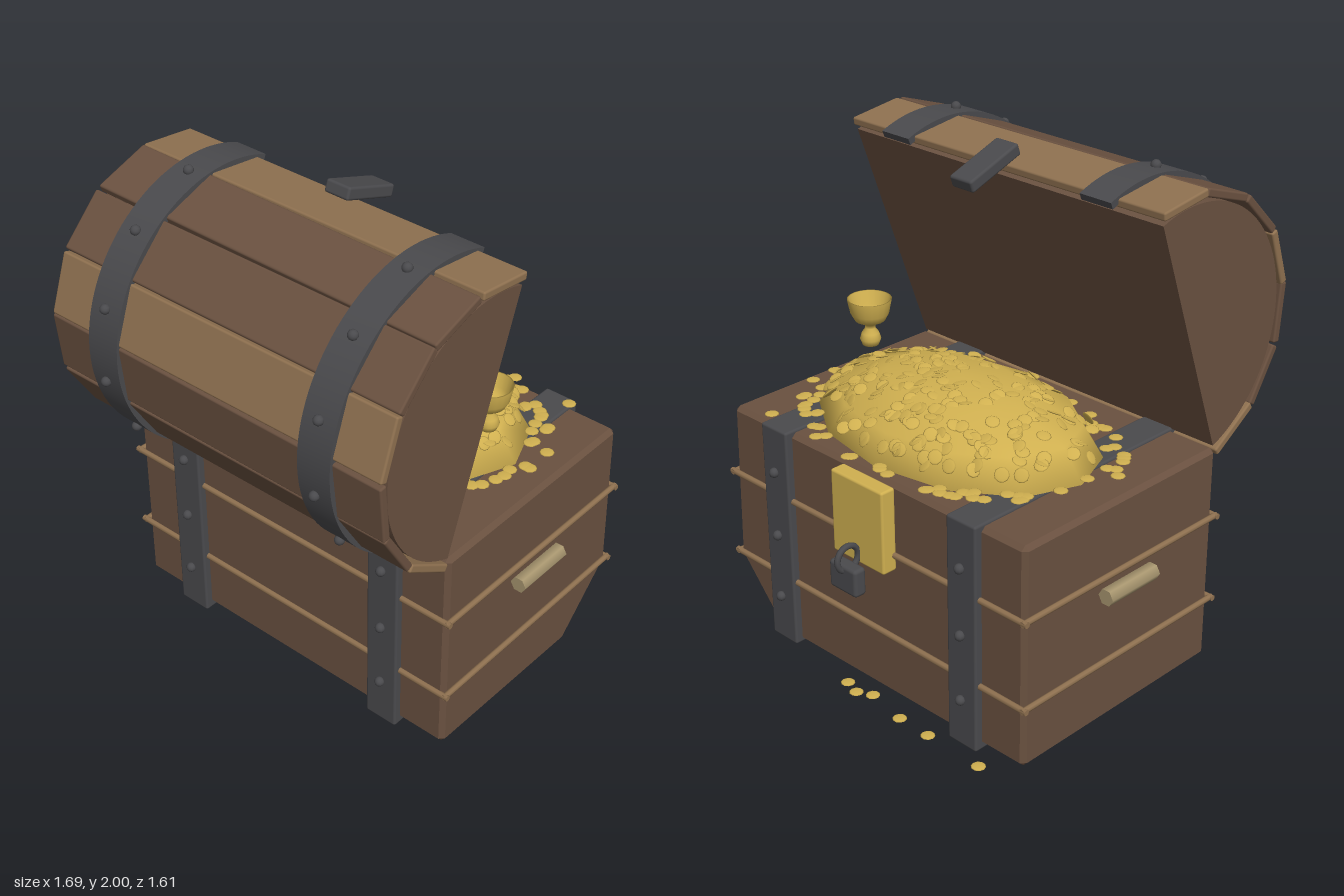
import * as THREE from 'three';
import { mergeGeometries, toCreasedNormals } from 'three/addons/utils/BufferGeometryUtils.js';
import { RoundedBoxGeometry } from 'three/addons/geometries/RoundedBoxGeometry.js';
import { ConvexGeometry } from 'three/addons/geometries/ConvexGeometry.js';

const paint = (color, side = THREE.FrontSide) => new THREE.MeshStandardMaterial({ color, side });
const wood = paint(0x6a5140), lightWood = paint(0x8f7150), iron = paint(0x4a4a4d);
const gold = paint(0xd0b050), goldThin = paint(0xd0b050, THREE.DoubleSide), tan = paint(0xa8966f);

function add(parent, name, geometry, material, x = 0, y = 0, z = 0) {
  const mesh = new THREE.Mesh(geometry, material);
  mesh.name = name;
  mesh.position.set(x, y, z);
  parent.add(mesh);
  return mesh;
}

const rounded = (w, h, d, r = 0.01) => new RoundedBoxGeometry(w, h, d, 2, r);

// Half-round slab in the lid's frame: axis along x, dome towards +y
function arch(shape, width) {
  const g = new THREE.ExtrudeGeometry(shape, { depth: width, bevelEnabled: false, curveSegments: 28 });
  g.translate(0, 0, -width / 2).rotateY(Math.PI / 2);
  return toCreasedNormals(g, 0.5);
}

// Box with softened edges and one bottom corner sliced away
function bodyGeometry() {
  const r = 0.018, [x1, y0, y1, z0, z1] = [0.777, 0.02, 0.927, -0.622, 0.405];
  const points = [new THREE.Vector3(0.55, y0, z0), new THREE.Vector3(x1, 0.27, z0), new THREE.Vector3(x1, y0, -0.37)];
  for (const sx of [-1, 1]) for (const sy of [0, 1]) for (const sz of [0, 1]) {
    if (sx === 1 && !sy && !sz) continue;
    const x = sx * x1, y = sy ? y1 : y0, z = sz ? z1 : z0;
    const dx = -sx * r, dy = sy ? -r : r, dz = sz ? -r : r;
    points.push(new THREE.Vector3(x, y + dy, z + dz), new THREE.Vector3(x + dx, y, z + dz), new THREE.Vector3(x + dx, y + dy, z));
  }
  return new ConvexGeometry(points);
}

function buildBody() {
  const body = new THREE.Group();
  body.name = 'chestBody';
  add(body, 'box', bodyGeometry(), wood);

  // Thin wooden rails running round the box
  for (const y of [0.28, 0.64]) {
    for (const z of [0.41, -0.632]) {
      add(body, 'longRail', new THREE.CylinderGeometry(0.012, 0.012, 1.6, 8), lightWood, 0, y, z).rotation.z = Math.PI / 2;
    }
    for (const x of [-0.785, 0.785]) {
      add(body, 'sideRail', new THREE.CylinderGeometry(0.012, 0.012, 1.06, 8), lightWood, x, y, -0.112).rotation.x = Math.PI / 2;
    }
  }

  // Iron straps with rivets
  for (const x of [-0.5, 0.5]) {
    add(body, 'strap', rounded(0.143, 0.938, 1.09), iron, x, 0.469, -0.109);
    for (const y of [0.2, 0.475, 0.75]) for (const z of [0.443, -0.661]) {
      add(body, 'rivet', new THREE.SphereGeometry(0.02, 10, 8), iron, x, y, z);
    }
  }

  // Six-sided grips at the ends
  for (const x of [-0.811, 0.811]) {
    const grip = new THREE.CylinderGeometry(0.034, 0.034, 0.26, 6).rotateY(Math.PI / 6).rotateX(Math.PI / 2);
    add(body, 'handle', grip, tan, x, 0.58, -0.11);
  }

  // Lock plate and padlock
  add(body, 'lockPlate', rounded(0.275, 0.34, 0.066), gold, 0, 0.745, -0.654);
  add(body, 'padlockRing', new THREE.TorusGeometry(0.05, 0.012, 8, 24), iron, 0, 0.615, -0.737).rotation.y = Math.PI / 2;
  add(body, 'padlock', rounded(0.145, 0.115, 0.056, 0.015), iron, 0, 0.54, -0.74);
  return body;
}

function buildLid() {
  const lid = new THREE.Group();
  lid.name = 'lid';
  lid.position.set(0, 1.41, 0.225);
  lid.rotation.x = THREE.MathUtils.degToRad(70);

  const half = new THREE.Shape();
  half.absarc(0, 0, 0.508, 0, Math.PI, false);
  half.closePath();
  add(lid, 'lidCore', arch(half, 1.53), wood);

  // Seven planks round the dome, each a little crooked
  const step = Math.PI / 7;
  for (let i = 0; i < 7; i++) {
    const a = (i + 0.5) * step;
    const plank = add(lid, 'plank', rounded(1.55, 0.033, 0.238, 0.008), i % 3 ? wood : lightWood,
      0, 0.53 * Math.sin(a), 0.53 * Math.cos(a));
    plank.rotation.set(Math.PI / 2 - a, 0.006 * Math.sin(i * 2.3), 0);
  }

  // Curved straps with rivets
  const over = 0.05;
  const ring = new THREE.Shape();
  ring.absarc(0, 0, 0.568, -over, Math.PI + over, false);
  ring.absarc(0, 0, 0.54, Math.PI + over, -over, true);
  ring.closePath();
  for (const x of [-0.5, 0.5]) {
    add(lid, 'lidStrap', arch(ring, 0.143), iron, x);
    for (let i = 1; i < 6; i++) {
      const a = i * Math.PI / 6;
      add(lid, 'lidRivet', new THREE.SphereGeometry(0.02, 10, 8), iron, x, 0.574 * Math.sin(a), 0.574 * Math.cos(a));
    }
  }

  add(lid, 'clasp', rounded(0.11, 0.26, 0.05), iron, 0, -0.05, -0.582);
  return lid;
}

function buildTreasure() {
  const treasure = new THREE.Group();
  treasure.name = 'treasure';
  let seed = 7;
  const rand = () => (seed = (seed * 16807) % 2147483647) / 2147483647;
  const [rx, ry, rz, cy, cz] = [0.63, 0.23, 0.42, 0.94, -0.175];

  const mound = add(treasure, 'goldMound', new THREE.SphereGeometry(1, 12, 3, 0, Math.PI * 2, 0, Math.PI / 2), goldThin, 0, cy, cz);
  mound.scale.set(rx, ry, rz);

  // Coins: strewn over the mound, around its foot and on the ground
  const coins = [];
  const up = new THREE.Vector3(0, 1, 0), one = new THREE.Vector3(1, 1, 1);
  const coin = (x, y, z, normal = up) => {
    const q = new THREE.Quaternion().setFromUnitVectors(up, normal.normalize());
    const g = new THREE.SphereGeometry(0.028, 10, 6).scale(1, 0.14, 1);
    coins.push(g.applyMatrix4(new THREE.Matrix4().compose(new THREE.Vector3(x, y, z), q, one)));
  };
  for (let i = 0; i < 230; i++) {
    const a = rand() * Math.PI * 2, r = 0.97 * Math.sqrt(rand());
    const x = r * Math.cos(a), z = r * Math.sin(a), y = Math.sqrt(1 - r * r);
    const tilt = () => (rand() - 0.5) * 1.1;
    coin(x * rx, cy + y * ry * 0.97, cz + z * rz, new THREE.Vector3(x / rx * 0.4 + tilt(), y / ry * 0.4, z / rz * 0.4 + tilt()));
  }
  for (let i = 0; i < 75; i++) {
    const a = rand() * Math.PI * 2, r = 1 + rand() * 0.14;
    coin(r * rx * Math.cos(a), 0.955, cz + r * rz * Math.sin(a));
  }
  coin(0.57, 0.955, -0.6);
  for (const [x, z] of [[-0.65, -0.72], [-0.39, -0.72], [-0.24, -0.72], [-0.06, -0.69], [0, -0.72], [0.07, -0.7]]) coin(x, 0.02, z);
  add(treasure, 'coins', mergeGeometries(coins), gold);

  // Goblet standing on the mound
  const profile = [[0, 0], [0.032, 0.01], [0.042, 0.035], [0.034, 0.06], [0.02, 0.08], [0.022, 0.095], [0.06, 0.115],
    [0.076, 0.145], [0.088, 0.203], [0.082, 0.203], [0.068, 0.15], [0.05, 0.125], [0, 0.115]];
  add(treasure, 'goblet', new THREE.LatheGeometry(profile.map(p => new THREE.Vector2(...p)), 20), goldThin, 0.54, 1.09, -0.115);
  return treasure;
}

export function createModel() {
  const model = new THREE.Group();
  model.name = 'treasureChest';
  model.add(buildBody(), buildLid(), buildTreasure());
  return model;
}
